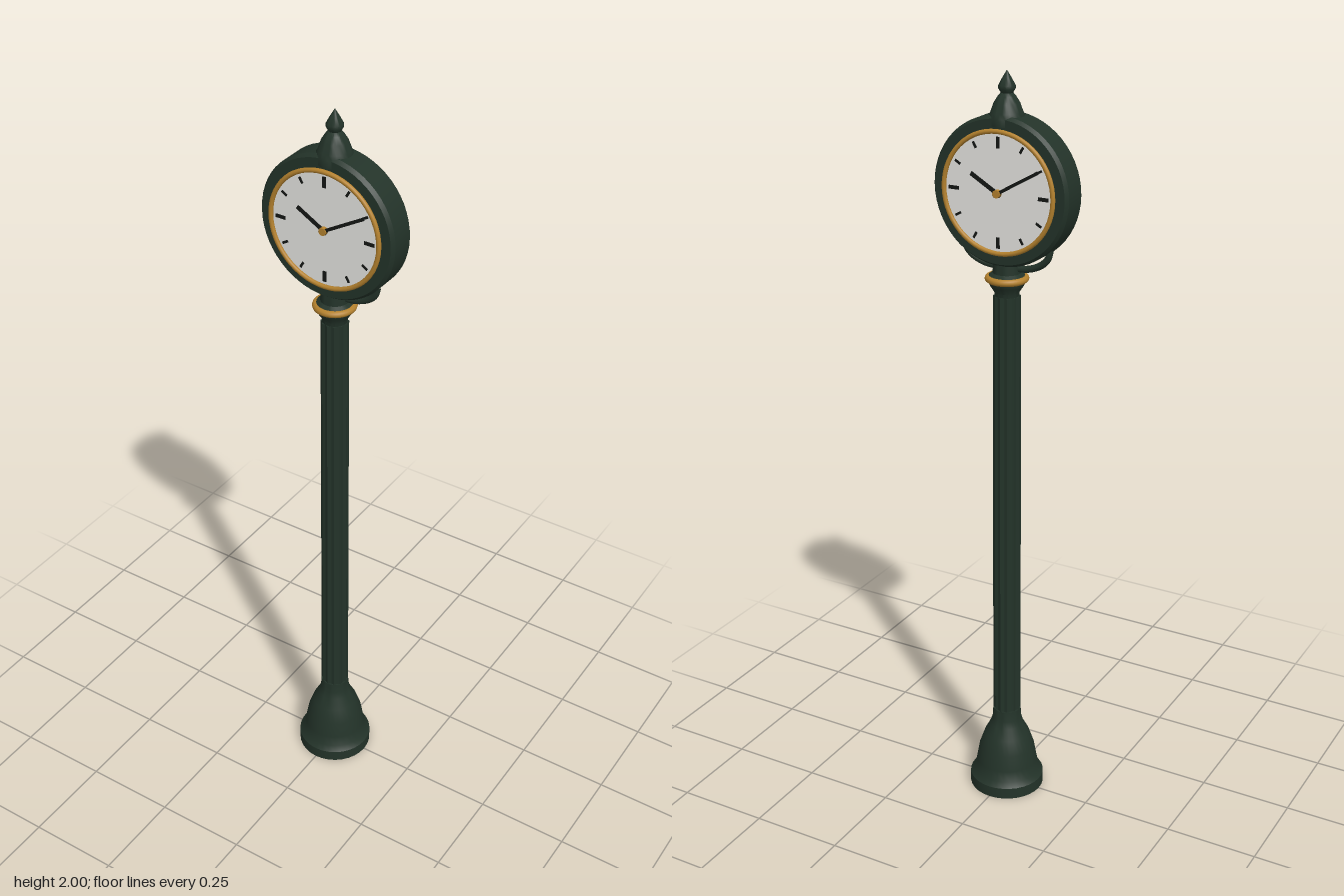
import * as THREE from 'three';
import { toCreasedNormals } from 'three/addons/utils/BufferGeometryUtils.js';

const mat = (name, color) => Object.assign(new THREE.MeshStandardMaterial({ color }), { name });

export function createModel() {
  const green = mat('dark green iron', 0x233329);
  const gold = mat('gold trim', 0xb5822e);
  const white = mat('dial white', 0xf1f0ec);
  const black = mat('hand black', 0x141614);

  const root = new THREE.Group();
  root.name = 'streetClock';

  const add = (parent, name, geometry, material, x = 0, y = 0, z = 0) => {
    const mesh = new THREE.Mesh(geometry, material);
    mesh.name = name;
    mesh.position.set(x, y, z);
    parent.add(mesh);
    return mesh;
  };
  const lathe = (points, segments = 32) => toCreasedNormals(
    new THREE.LatheGeometry(points.map(([r, y]) => new THREE.Vector2(r, y)), segments), 0.6);

  // Bell-shaped base
  add(root, 'base', lathe([
    [0, 0], [0.102, 0], [0.102, 0.032], [0.09, 0.046], [0.084, 0.075], [0.076, 0.12],
    [0.062, 0.16], [0.046, 0.19], [0.04, 0.21], [0.038, 0.24], [0, 0.24],
  ]), green);

  // Fluted, slightly tapered column
  const fluteCount = 12, stepsPerFlute = 8;
  const section = [];
  for (let i = 0; i < fluteCount * stepsPerFlute; i++) {
    const a = (i / (fluteCount * stepsPerFlute)) * Math.PI * 2;
    const r = 0.038 - 0.004 * Math.abs(Math.sin(a * fluteCount / 2));
    section.push(new THREE.Vector2(Math.cos(a) * r, Math.sin(a) * r));
  }
  const column = new THREE.ExtrudeGeometry(new THREE.Shape(section), { depth: 1.22, bevelEnabled: false });
  column.rotateX(-Math.PI / 2);
  const p = column.attributes.position;
  for (let i = 0; i < p.count; i++) {
    const s = 1 - 0.07 * (p.getY(i) / 1.22);
    p.setX(i, p.getX(i) * s);
    p.setZ(i, p.getZ(i) * s);
  }
  column.computeVertexNormals();
  add(root, 'column', toCreasedNormals(column, 0.5), green, 0, 0.22, 0);

  // Capital, gold collar and neck
  add(root, 'capital', lathe([
    [0, 1.43], [0.031, 1.43], [0.032, 1.45], [0.042, 1.465], [0.048, 1.478],
    [0.048, 1.492], [0.036, 1.5], [0.034, 1.54], [0, 1.54],
  ]), green);
  const collar = add(root, 'collar', new THREE.TorusGeometry(0.047, 0.009, 10, 40), gold, 0, 1.485, 0);
  collar.rotation.x = Math.PI / 2;

  // Curved brackets cradling the case
  for (const side of [-1, 1]) {
    const curve = new THREE.CatmullRomCurve3([
      [0.02, 1.513], [0.06, 1.516], [0.095, 1.53], [0.115, 1.55], [0.122, 1.575],
    ].map(([x, y]) => new THREE.Vector3(side * x, y, 0)));
    add(root, side > 0 ? 'leftBracket' : 'rightBracket',
      new THREE.TubeGeometry(curve, 20, 0.009, 8), green);
  }

  // Drum case with chamfered rims
  const head = new THREE.Group();
  head.name = 'clockHead';
  head.position.y = 1.71;
  root.add(head);
  const drum = lathe([
    [0, -0.042], [0.18, -0.042], [0.187, -0.032], [0.187, 0.032], [0.18, 0.042], [0, 0.042],
  ], 56);
  drum.rotateX(Math.PI / 2);
  add(head, 'case', drum, green);

  // Complete dial on both sides
  for (const back of [false, true]) {
    const dial = new THREE.Group();
    dial.name = back ? 'backDial' : 'frontDial';
    dial.rotation.y = back ? Math.PI : 0;
    head.add(dial);
    add(dial, 'face', new THREE.CircleGeometry(0.15, 56), white, 0, 0, 0.0445);
    add(dial, 'bezel', new THREE.TorusGeometry(0.151, 0.006, 10, 56), gold, 0, 0, 0.047);

    // Radial bars are measured clockwise from twelve
    const bar = (name, angle, from, to, width, z) => {
      const mid = (from + to) / 2;
      const mesh = add(dial, name, new THREE.BoxGeometry(width, to - from, 0.002), black,
        Math.sin(angle) * mid, Math.cos(angle) * mid, z);
      mesh.rotation.z = -angle;
    };
    for (let i = 0; i < 12; i++) {
      const major = i % 3 === 0;
      bar('hourMark', i * Math.PI / 6, major ? 0.11 : 0.121, 0.138, major ? 0.009 : 0.006, 0.0455);
    }
    bar('hourHand', -Math.PI / 3, -0.01, 0.085, 0.011, 0.049);
    bar('minuteHand', Math.PI / 3, -0.012, 0.13, 0.008, 0.052);
    const hub = add(dial, 'hub', new THREE.CylinderGeometry(0.01, 0.01, 0.011, 20), gold, 0, 0, 0.0505);
    hub.rotation.x = Math.PI / 2;
  }

  // Pointed finial
  add(root, 'finial', lathe([
    [0, 1.87], [0.046, 1.87], [0.046, 1.888], [0.04, 1.9], [0.032, 1.922], [0.022, 1.938],
    [0.015, 1.946], [0.021, 1.956], [0.021, 1.963], [0.012, 1.98], [0, 2],
  ], 28), green);

  return root;
}
